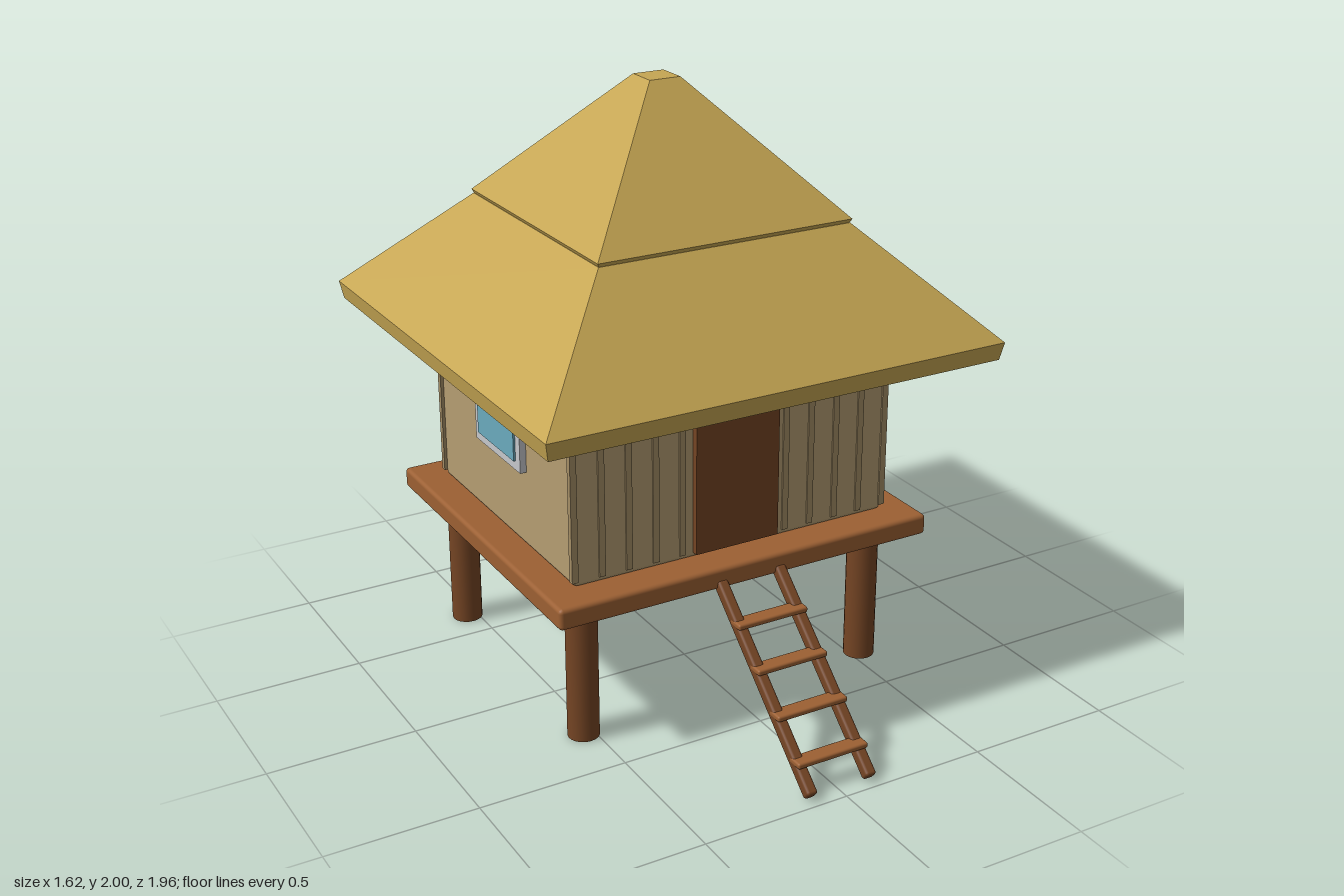
import * as THREE from 'three';
import { RoundedBoxGeometry } from 'three/addons/geometries/RoundedBoxGeometry.js';

const CZ = -0.175; // centre of the hut in z

function material(name, color) {
  const m = new THREE.MeshStandardMaterial({ color });
  m.name = name;
  return m;
}

export function createModel() {
  const thatch = material('thatch', 0xc6a653);
  const wall = material('wall tan', 0xb59d72);
  const batten = material('batten tan', 0xa48e66);
  const plank = material('plank brown', 0x9c6033);
  const timber = material('dark timber', 0x754524);
  const frame = material('window frame grey', 0xc6c8cc);
  const glass = material('window glass', 0x6aaabd);

  const model = new THREE.Group();
  model.name = 'stiltHut';

  function add(parent, name, geometry, mat, x, y, z) {
    const mesh = new THREE.Mesh(geometry, mat);
    mesh.name = name;
    mesh.position.set(x, y, z);
    parent.add(mesh);
    return mesh;
  }
  const box = (w, h, d) => new THREE.BoxGeometry(w, h, d);

  // Square tapered block between two heights, given half widths
  function taper(name, bottomHalf, topHalf, y0, y1) {
    const g = new THREE.CylinderGeometry(topHalf * Math.SQRT2, bottomHalf * Math.SQRT2, y1 - y0, 4)
      .rotateY(Math.PI / 4).toNonIndexed();
    g.computeVertexNormals();
    add(model, name, g, thatch, 0, (y0 + y1) / 2, CZ);
  }

  // Stilts
  for (const x of [-0.535, 0.535])
    for (const z of [-0.457, 0.457])
      add(model, 'stilt', new THREE.CylinderGeometry(0.053, 0.053, 0.5, 20), timber, x, 0.25, CZ + z);

  // Platform and walls
  add(model, 'platform', new RoundedBoxGeometry(1.365, 0.072, 1.22, 2, 0.014), plank, 0, 0.519, CZ);
  add(model, 'walls', new RoundedBoxGeometry(1.15, 0.66, 0.99, 2, 0.015), wall, 0, 0.885, CZ + 0.002);

  // Upright battens on the front and back walls
  for (const side of [-1, 1])
    for (let i = -6; i <= 6; i++)
      add(model, 'batten', box(0.022, 0.6, 0.02), batten, i * 0.0957, 0.873, CZ + side * 0.492);

  // Door
  add(model, 'door', box(0.305, 0.507, 0.03), timber, 0, 0.827, 0.33);

  // Windows on both side walls
  const hole = (w, h) => new THREE.Path([[-w, -h], [-w, h], [w, h], [w, -h]].map(p => new THREE.Vector2(...p)));
  for (const side of [-1, 1]) {
    const win = new THREE.Group();
    win.name = 'window';
    const outline = new THREE.Shape([[-0.168, -0.138], [0.168, -0.138], [0.168, 0.138], [-0.168, 0.138]]
      .map(p => new THREE.Vector2(...p)));
    outline.holes.push(hole(0.136, 0.106));
    add(win, 'windowFrame', new THREE.ExtrudeGeometry(outline, { depth: 0.03, bevelEnabled: false }),
      frame, 0, 0, -0.01);
    add(win, 'windowGlass', box(0.272, 0.212, 0.03), glass, 0, 0, 0.012);
    win.position.set(side * 0.577, 0.958, -0.172);
    win.rotation.y = side * Math.PI / 2;
    model.add(win);
  }

  // Two-tier thatched roof with a thick eave
  taper('eave', 0.797, 0.808, 1.15, 1.21);
  taper('lowerThatch', 0.808, 0.448, 1.21, 1.565);
  taper('upperThatchLip', 0.446, 0.453, 1.564, 1.578);
  taper('upperThatch', 0.453, 0.055, 1.578, 2.0);

  // Sloping ladder
  const ladder = new THREE.Group();
  ladder.name = 'ladder';
  const angle = Math.atan2(0.48, 0.54);
  for (const x of [-0.108, 0.108]) {
    const rail = add(ladder, 'ladderRail', new RoundedBoxGeometry(0.038, 0.04, 0.73, 2, 0.01), timber, x, 0.258, 0.694);
    rail.rotation.x = angle;
  }
  for (let i = 0; i < 4; i++)
    add(ladder, 'ladderRung', new RoundedBoxGeometry(0.256, 0.02, 0.056, 2, 0.007), plank,
      0, 0.1 + i * 0.103, 0.897 - i * 0.118);
  model.add(ladder);

  return model;
}
